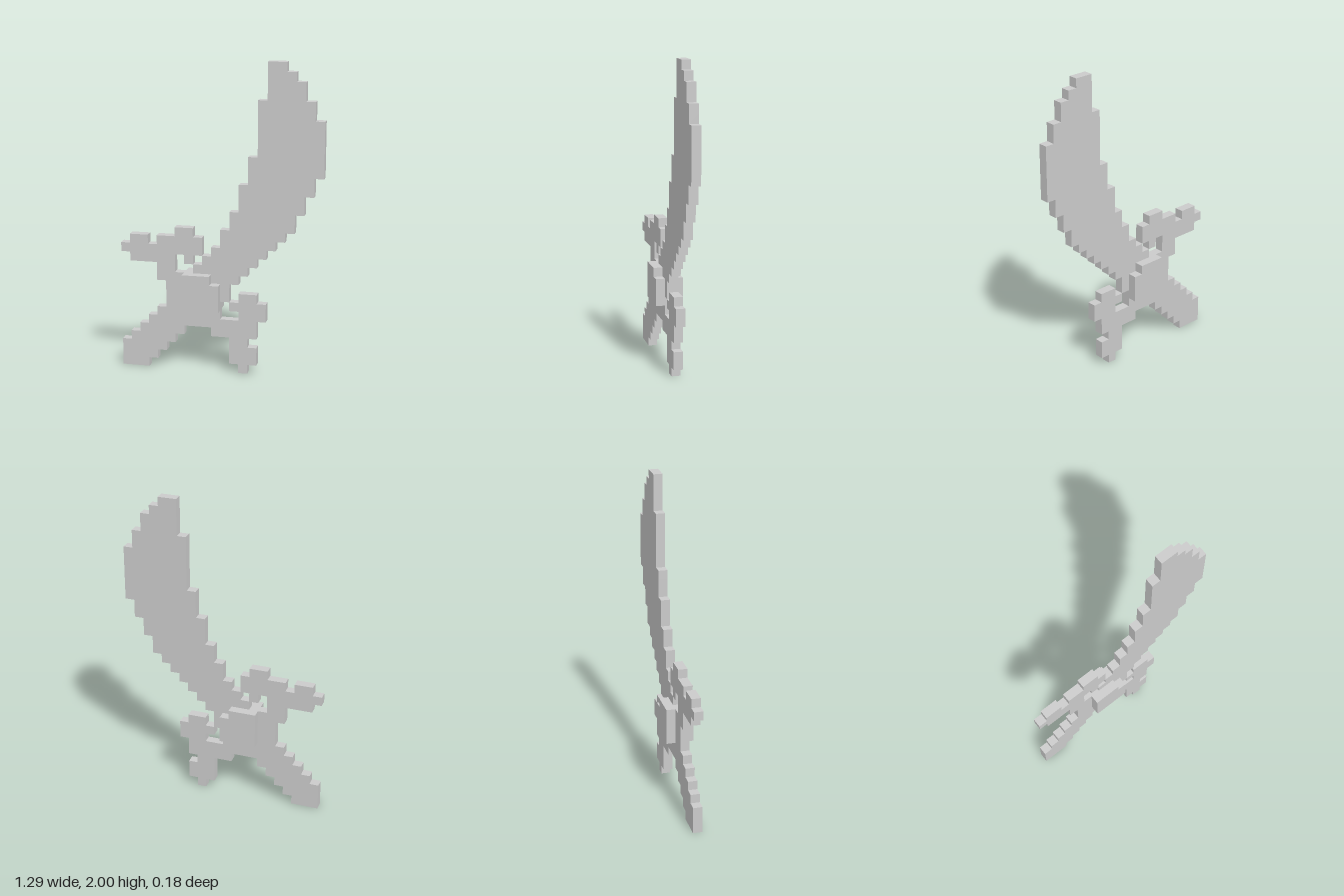
import * as THREE from 'three';

const U = 2 / 34; // size of one pixel block
const COLS = 22;

// Stepped slab: rows holds [left, right] columns, stacked upward from startRow.
// swap mirrors the outline across the sword's diagonal.
function slab(name, startRow, rows, depth = 1, swap = false) {
  const right = [], left = [];
  rows.forEach(([l, r], i) => {
    const y = startRow + i;
    right.push([r, y], [r, y + 1]);
    left.push([l, y], [l, y + 1]);
  });
  const points = [...right, ...left.reverse()]
    .map(([c, r]) => (swap ? [r, c] : [c, r]))
    .map(([c, r]) => new THREE.Vector2((c - COLS / 2) * U, r * U));
  const geometry = new THREE.ExtrudeGeometry(new THREE.Shape(points), {
    depth: depth * U, bevelEnabled: false,
  });
  geometry.translate(0, 0, -depth * U / 2);
  const material = new THREE.MeshStandardMaterial({ color: 0xcccccc, flatShading: true });
  const mesh = new THREE.Mesh(geometry, material);
  mesh.name = name;
  return mesh;
}

export function createModel() {
  const group = new THREE.Group();
  group.name = 'sword';

  // Grip running diagonally up from the pommel
  group.add(slab('handle', 0, [[0, 3], [0, 4], [0, 5], [1, 6], [2, 7]]));

  // Centre where grip, guard and blade meet
  group.add(slab('hub', 5, [[3, 11], [4, 11], [5, 11], [5, 12], [5, 12], [5, 13]]));

  // Curved blade
  group.add(slab('blade', 11, [
    [8, 14], [9, 15], [10, 16], [11, 17], [11, 18], [12, 19], [12, 19],
    [13, 20], [13, 20], [13, 21], [14, 21], [14, 22], [14, 22],
    [15, 22], [15, 22], [15, 22], [15, 22], [15, 21], [15, 21],
    [16, 20], [16, 20], [16, 19], [16, 18],
  ]));

  // Hooked guard arms, mirrored across the diagonal
  const arm = [
    [13, 14], [12, 15], [12, 15], [12, 14], [10, 15],
    [11, 15], [13, 16], [12, 16], [13, 15],
  ];
  group.add(slab('leftGuard', 0, arm));
  group.add(slab('rightGuard', 0, arm, 1, true));

  // Raised block on both faces of the hub
  group.add(slab('boss', 7, [[7, 11], [7, 11], [7, 11], [7, 10]], 3));

  return group;
}
